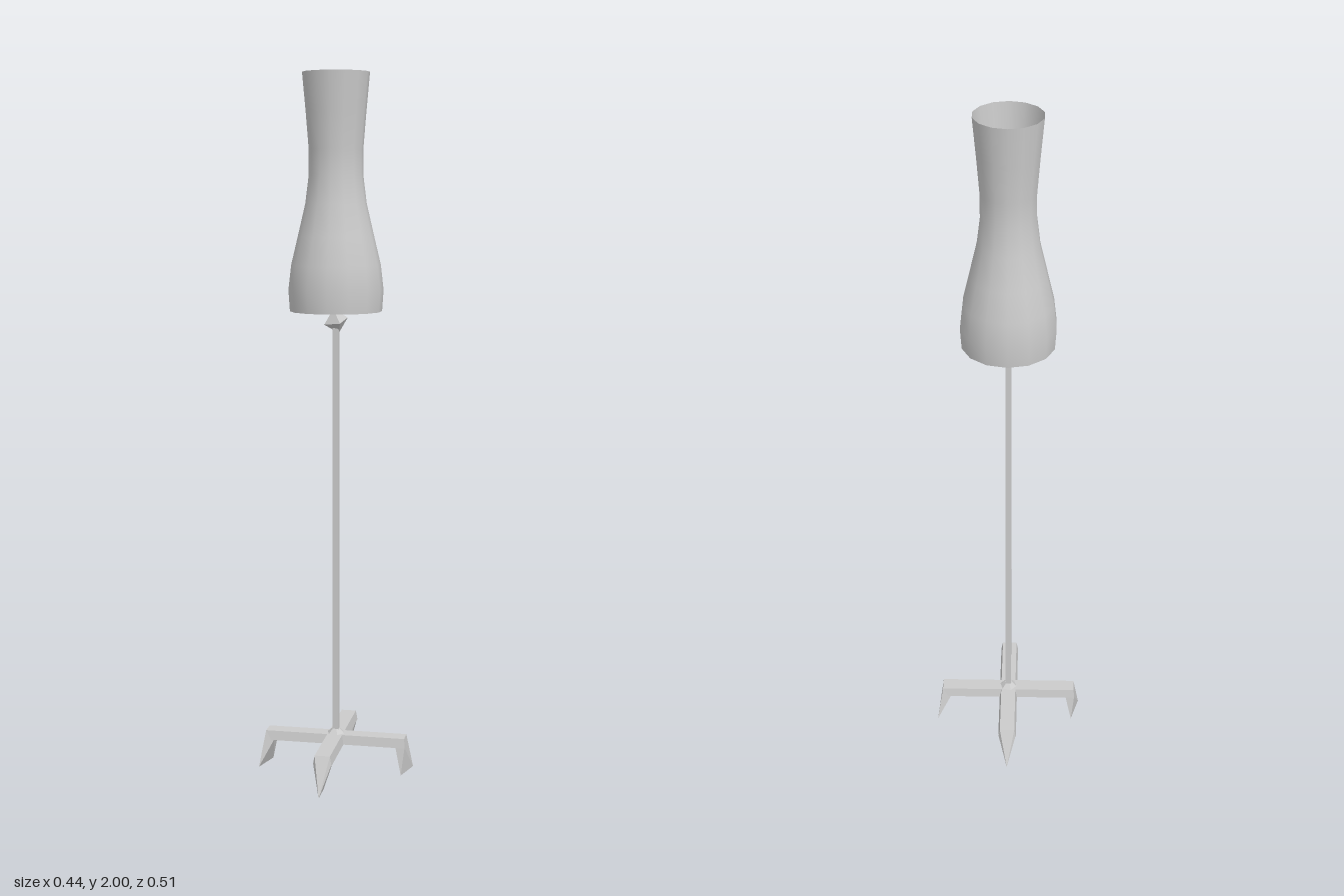
import * as THREE from 'three';
import { ConvexGeometry } from 'three/addons/geometries/ConvexGeometry.js';

export function createModel() {
  const group = new THREE.Group();
  const flat = new THREE.MeshStandardMaterial({ color: 0xcccccc, flatShading: true });
  const smooth = new THREE.MeshStandardMaterial({ color: 0xcccccc, side: THREE.DoubleSide });
  const add = (name, geometry, material = flat, y = 0) => {
    const mesh = new THREE.Mesh(geometry, material);
    mesh.name = name;
    mesh.position.y = y;
    group.add(mesh);
    return mesh;
  };
  const hull = (points) => new ConvexGeometry(points.map((p) => new THREE.Vector3(...p)));

  // Open waisted shade
  const profile = [
    [0.13, 1.34], [0.134, 1.4], [0.126, 1.47], [0.107, 1.55], [0.086, 1.64],
    [0.076, 1.72], [0.076, 1.79], [0.084, 1.89], [0.094, 2.0],
  ].map(([r, y]) => new THREE.Vector2(r, y));
  add('shade', new THREE.LatheGeometry(profile, 14), smooth);

  // Thin square pole with a faceted knob under the shade
  add('pole', new THREE.BoxGeometry(0.017, 1.26, 0.017), flat, 0.74);
  const knob = add('knob', new THREE.OctahedronGeometry(0.036), flat, 1.312);
  knob.rotation.set(0.15, 0.5, 0.2);

  // Crossed base bars, narrower on top
  const section = new THREE.Shape([[-0.027, 0.078], [0.027, 0.078], [0.022, 0.105], [-0.022, 0.105]]
    .map(([x, y]) => new THREE.Vector2(x, y)));
  const barGeometry = new THREE.ExtrudeGeometry(section, { depth: 0.41, bevelEnabled: false });
  barGeometry.translate(0, 0, -0.205);
  add('frontBackBar', barGeometry);
  add('sideBar', barGeometry).rotation.y = Math.PI / 2;

  // Low hub where the bars cross
  const hub = add('hub', new THREE.CylinderGeometry(0.012, 0.036, 0.022, 6), flat, 0.107);
  hub.rotation.y = 0.3;

  // Front and back feet: tapered to an edge running along the bar
  const endFoot = hull([
    [-0.026, 0.08, 0.18], [0.026, 0.08, 0.18], [-0.026, 0.08, 0.205], [0.026, 0.08, 0.205],
    [-0.022, 0.105, 0.205], [0.022, 0.105, 0.205], [0, 0, 0.257], [0, 0, 0.186],
  ]);
  // Side feet: blades flaring to a slanted bottom edge
  const sideFoot = hull([
    [0.18, 0.08, -0.026], [0.18, 0.08, 0.026], [0.207, 0.08, -0.026], [0.207, 0.08, 0.026],
    [0.205, 0.105, -0.022], [0.205, 0.105, 0.022], [0.222, 0, -0.046], [0.198, 0, 0.038],
  ]);
  for (const [i, side] of ['front', 'back'].entries()) {
    add(`${side}Foot`, endFoot).rotation.y = i * Math.PI;
  }
  for (const [i, side] of ['left', 'right'].entries()) {
    add(`${side}Foot`, sideFoot).rotation.y = i * Math.PI;
  }
  return group;
}
